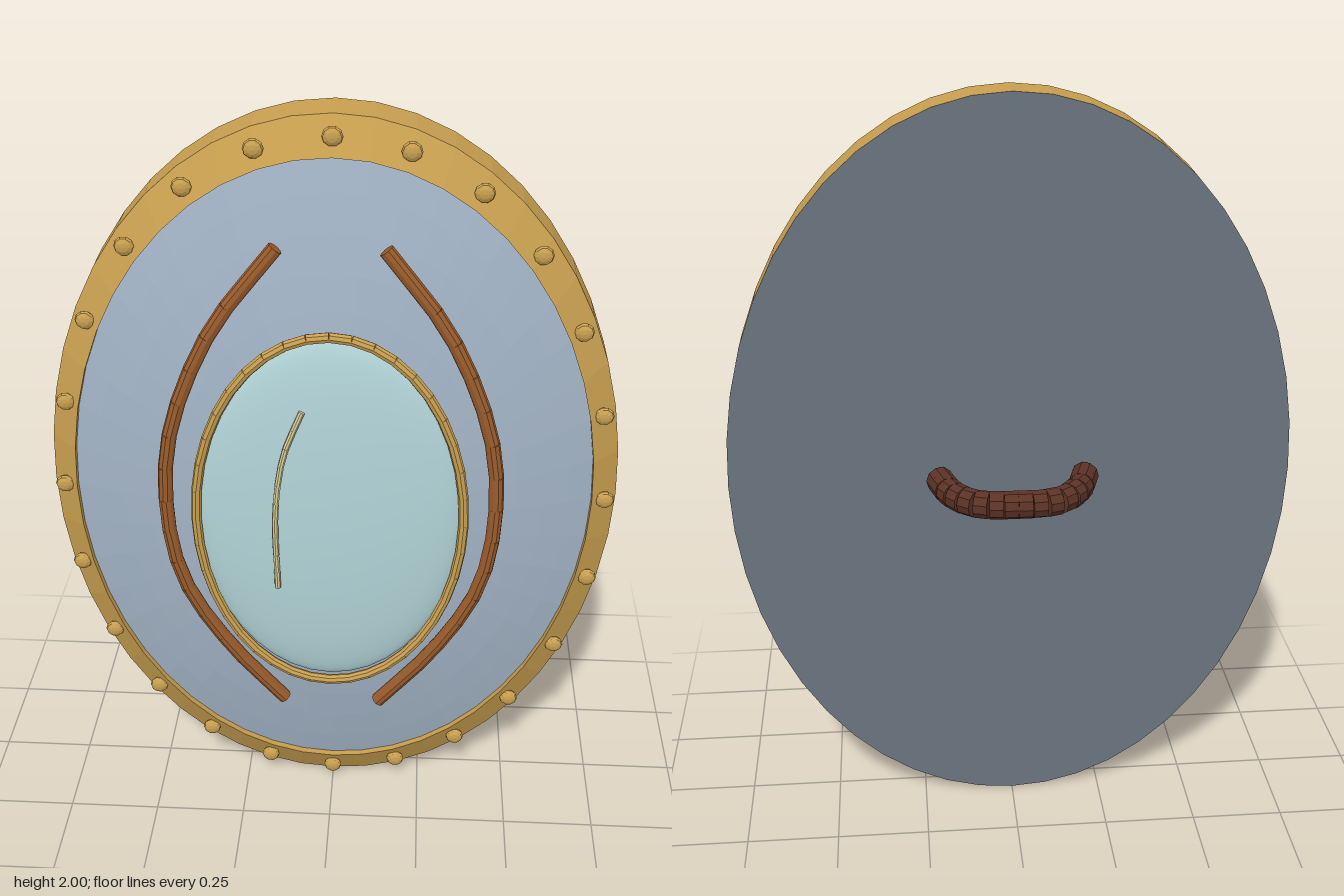
import * as THREE from 'three';

const RX = 0.74, RY = 1.0, CY = 1.0; // half width, half height and centre of the oval
const mat = (color, flatShading = true) => new THREE.MeshStandardMaterial({ color, flatShading });
const gold = mat(0xc9a050);
const steel = mat(0xa3b4c6);
const backing = mat(0x6a747e);
const copper = mat(0x9a5c2c);
const leather = mat(0x5c3226);
const glass = mat(0xb2d4d8, false);
const pale = mat(0xd6cc98);

const V = (x, y, z) => new THREE.Vector3(x, y, z);

function mesh(name, geometry, material) {
  const m = new THREE.Mesh(geometry, material);
  m.name = name;
  return m;
}

// Oval turned part: profile of [radius, z], scaled to the oval
function ovalLathe(name, profile, material) {
  const geo = new THREE.LatheGeometry(profile.map(([r, z]) => new THREE.Vector2(r, z)), 48);
  geo.rotateX(Math.PI / 2).scale(RX, RY, 1).translate(0, CY, 0);
  return mesh(name, geo, material);
}

// Chain of short straight rods following a list of points
function rodChain(name, points, radius, material, sides = 10) {
  const group = new THREE.Group();
  group.name = name;
  for (let i = 0; i < points.length - 1; i++) {
    const dir = points[i + 1].clone().sub(points[i]);
    const rod = mesh(name + 'Segment', new THREE.CylinderGeometry(radius, radius, dir.length(), sides), material);
    rod.position.copy(points[i]).addScaledVector(dir, 0.5);
    rod.quaternion.setFromUnitVectors(V(0, 1, 0), dir.normalize());
    group.add(rod);
  }
  return group;
}

const along = (pts, n) => new THREE.CatmullRomCurve3(pts).getSpacedPoints(n);

export function createModel() {
  const shield = new THREE.Group();
  shield.name = 'shield';

  // Rim with bevelled front, and flat back plate
  shield.add(ovalLathe('rim', [[1, -0.063], [1, 0.052], [0.91, 0.1], [0.91, 0.06]], gold));
  shield.add(ovalLathe('backPlate', [[0, -0.063], [1, -0.063]], backing));

  // Domed face
  const dome = [];
  for (let i = 0; i <= 10; i++) {
    const r = 0.92 * (1 - i / 10);
    dome.push([r, 0.203 - 0.147 * r * r]);
  }
  shield.add(ovalLathe('domedFace', dome, steel));

  // Rivets around the rim
  for (let i = 0; i < 24; i++) {
    const a = (i / 24) * Math.PI * 2;
    const rivet = mesh('rivet', new THREE.SphereGeometry(0.025, 10, 6).rotateX(Math.PI / 2), gold);
    rivet.scale.z = 0.55;
    rivet.position.set(0.957 * RX * Math.sin(a), CY + 0.957 * RY * Math.cos(a), 0.086);
    shield.add(rivet);
  }

  // Central lens and its ring
  const lens = mesh('lens', new THREE.SphereGeometry(1, 40, 24).rotateX(Math.PI / 2), glass);
  lens.scale.set(0.34, 0.51, 0.055);
  lens.position.set(0, CY, 0.203);
  shield.add(lens);

  const ring = [];
  for (let i = 0; i <= 40; i++) {
    const a = (i / 40) * Math.PI * 2;
    ring.push(V(0.34 * Math.cos(a), CY + 0.517 * Math.sin(a), 0.227));
  }
  shield.add(rodChain('lensRing', ring, 0.013, gold, 8));

  // Highlight strip on the lens
  shield.add(rodChain('lensStreak', along([
    V(-0.065, 1.325, 0.248), V(-0.11, 1.21, 0.26), V(-0.133, 1.05, 0.266), V(-0.132, 0.81, 0.258),
  ], 10), 0.008, pale, 8));

  // Curved strips either side of the lens
  for (const s of [-1, 1]) {
    shield.add(rodChain(s > 0 ? 'leftStrip' : 'rightStrip', along([
      V(s * 0.13, 1.71, 0.156), V(s * 0.29, 1.5, 0.176), V(s * 0.397, 1.24, 0.192), V(s * 0.421, 1.02, 0.196),
      V(s * 0.39, 0.785, 0.192), V(s * 0.28, 0.56, 0.176), V(s * 0.13, 0.355, 0.156),
    ], 16), 0.019, copper));
  }

  // Wrapped grip on the back
  shield.add(rodChain('grip', along([
    V(-0.192, 1.005, -0.075), V(-0.16, 1.005, -0.17), V(-0.1, 1.005, -0.228), V(0, 1.005, -0.24),
    V(0.1, 1.005, -0.228), V(0.16, 1.005, -0.17), V(0.192, 1.005, -0.075),
  ], 16), 0.036, leather));

  return shield;
}
